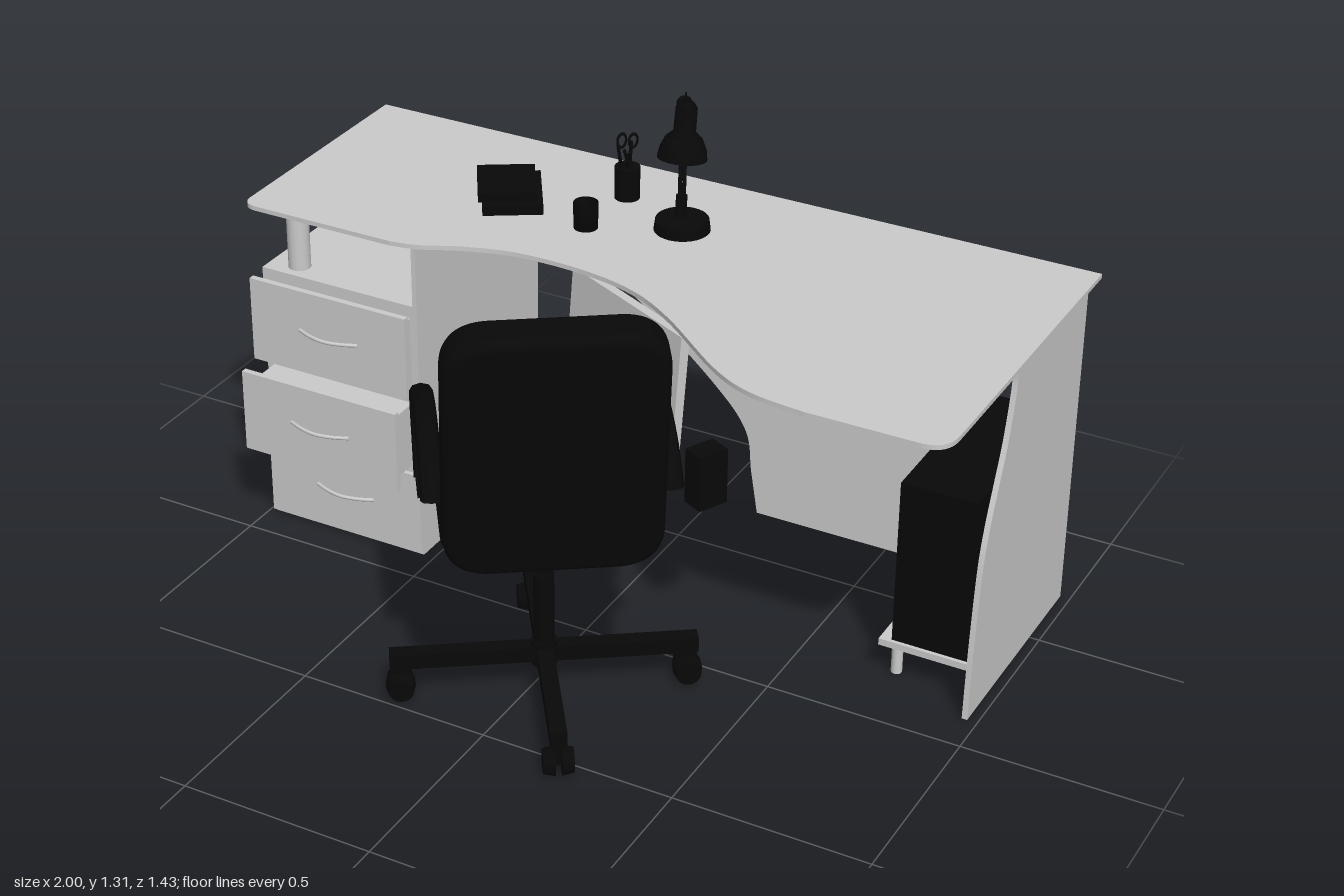
import * as THREE from 'three';
import { RoundedBoxGeometry } from 'three/addons/geometries/RoundedBoxGeometry.js';

const grey = new THREE.MeshStandardMaterial({ color: 0xcccccc, side: THREE.DoubleSide });
const black = new THREE.MeshStandardMaterial({ color: 0x080808, side: THREE.DoubleSide });
const V = (a) => new THREE.Vector3(...a);

function add(parent, name, geo, mat, pos = [0, 0, 0]) {
  const m = new THREE.Mesh(geo, mat);
  m.name = name;
  m.position.set(...pos);
  parent.add(m);
  return m;
}
// Box given by its min and max corners
function box(parent, name, mat, a, b) {
  return add(parent, name, new THREE.BoxGeometry(b[0] - a[0], b[1] - a[1], b[2] - a[2]), mat,
    a.map((v, i) => (v + b[i]) / 2));
}
// Round bar between two points
function rod(parent, name, mat, a, b, r, r2 = r, sides = 16) {
  const p = V(a), d = V(b).sub(p);
  const m = add(parent, name, new THREE.CylinderGeometry(r2, r, d.length(), sides), mat);
  m.position.copy(p).addScaledVector(d, 0.5);
  m.quaternion.setFromUnitVectors(new THREE.Vector3(0, 1, 0), d.normalize());
  return m;
}
function tube(parent, name, mat, pts, r, n = 24) {
  return add(parent, name, new THREE.TubeGeometry(new THREE.CatmullRomCurve3(pts.map(V)), n, r, 8), mat);
}
function group(parent, name, pos = [0, 0, 0], ry = 0) {
  const g = new THREE.Group();
  g.name = name;
  g.position.set(...pos);
  g.rotation.y = ry;
  parent.add(g);
  return g;
}
const vecs = (pts) => pts.map(([x, y]) => new THREE.Vector2(x, y));
const extrude = (shape, depth) => new THREE.ExtrudeGeometry(shape, { depth, bevelEnabled: false, curveSegments: 12 });
function roundRect(shape, x0, y0, x1, y1, r) {
  shape.moveTo(x0 + r, y0);
  shape.lineTo(x1 - r, y0).quadraticCurveTo(x1, y0, x1, y0 + r);
  shape.lineTo(x1, y1 - r).quadraticCurveTo(x1, y1, x1 - r, y1);
  shape.lineTo(x0 + r, y1).quadraticCurveTo(x0, y1, x0, y1 - r);
  shape.lineTo(x0, y0 + r).quadraticCurveTo(x0, y0, x0 + r, y0);
  return shape;
}

function buildDesk(root) {
  const desk = group(root, 'desk');
  // Worktop with a wavy front edge, drawn in (x, -z) and laid flat
  const top = new THREE.Shape();
  top.moveTo(-1, 0.72).lineTo(1, 0.72).lineTo(1, -0.14);
  top.quadraticCurveTo(1, -0.21, 0.93, -0.21).lineTo(0.66, -0.21);
  top.splineThru(vecs([[0.52, -0.19], [0.4, -0.13], [0.2, 0.03], [0.06, 0.11], [-0.1, 0.145],
    [-0.27, 0.145], [-0.4, 0.11], [-0.5, 0.065], [-0.57, 0.05]]));
  top.lineTo(-0.96, 0.05).quadraticCurveTo(-1, 0.05, -1, 0.09);
  add(desk, 'worktop', extrude(top, 0.012).rotateX(-Math.PI / 2), grey, [0, 0.905, 0]);

  // Back panel with a sweeping lower edge and a window
  const back = new THREE.Shape();
  back.moveTo(0.96, 0).lineTo(0.96, 0.905).lineTo(-0.53, 0.905);
  back.splineThru(vecs([[-0.5, 0.78], [-0.4, 0.67], [-0.2, 0.52], [0, 0.35], [0.09, 0.24], [0.11, 0.12], [0.13, 0]]));
  back.holes.push(roundRect(new THREE.Path(), 0.715, 0.08, 0.935, 0.6, 0.045));
  add(desk, 'backPanel', extrude(back, 0.014), grey, [0, 0, -0.71]);

  // Side panel, drawn in (-z, y)
  const side = new THREE.Shape();
  side.moveTo(0.71, 0).lineTo(0.71, 0.905).lineTo(0.265, 0.905);
  side.splineThru(vecs([[0.27, 0.83], [0.24, 0.7], [0.2, 0.6], [0.16, 0.5], [0.135, 0.4], [0.115, 0.2], [0.105, 0]]));
  add(desk, 'sidePanel', extrude(side, 0.014).rotateY(Math.PI / 2), grey, [0.96, 0, 0]);

  // Drawer cabinet
  box(desk, 'cabinet', grey, [-0.985, 0, -0.7], [-0.53, 0.72, -0.1]);
  box(desk, 'cabinetSidePanel', grey, [-0.542, 0, -0.7], [-0.53, 0.905, -0.1]);
  [[0.01, 0.24, -0.088], [0.25, 0.475, 0.015], [0.485, 0.715, -0.042]].forEach(([y0, y1, z]) => {
    box(desk, 'drawerFront', grey, [-0.985, y0, z - 0.016], [-0.53, y1, z]);
    box(desk, 'drawerBox', grey, [-0.965, y0 + 0.02, -0.3], [-0.55, y1 - 0.03, z - 0.016]);
    const y = (y0 + y1) / 2 + 0.005;
    tube(desk, 'drawerHandle', grey, [[-0.84, y, z], [-0.8, y, z + 0.016], [-0.755, y, z + 0.024],
      [-0.71, y, z + 0.016], [-0.67, y, z]], 0.005);
  });
  for (const z of [-0.15, -0.62]) rod(desk, 'post', grey, [-0.905, 0.72, z], [-0.905, 0.905, z], 0.029);

  // Computer on its low shelf
  box(desk, 'computerShelf', grey, [0.71, 0.09, -0.69], [0.96, 0.108, -0.17]);
  for (const z of [-0.21, -0.62]) rod(desk, 'shelfFoot', grey, [0.745, 0, z], [0.745, 0.09, z], 0.014);
  box(desk, 'computerCase', black, [0.74, 0.108, -0.67], [0.935, 0.55, -0.18]);

  // Turned tray, screen and speaker below the worktop
  const tray = roundRect(new THREE.Shape(), -0.325, -0.1, 0.325, 0.1, 0.025);
  const t = add(group(root, 'tray', [-0.045, 0.46, 0.085], -0.45), 'trayBoard', extrude(tray, 0.01), grey);
  t.rotation.x = -Math.PI / 2;
  const screen = group(root, 'screen', [0.01, 0.675, -0.18], -0.45);
  add(screen, 'screenPanel', new THREE.BoxGeometry(0.44, 0.33, 0.025), grey).rotation.x = -0.08;
  box(screen, 'screenSocket', grey, [-0.05, -0.12, -0.04], [0.05, -0.06, -0.01]);
  add(root, 'speaker', new THREE.BoxGeometry(0.06, 0.145, 0.08), black, [0.32, 0.54, -0.005]).rotation.y = -0.45;
}

function buildChair(root) {
  const chair = group(root, 'chair', [0.03, 0, 0.26], Math.PI + 0.607);
  // Four-legged base with twin-wheel casters
  rod(chair, 'hub', black, [0, 0.075, 0], [0, 0.14, 0], 0.032);
  rod(chair, 'columnSleeve', black, [0, 0.13, 0], [0, 0.33, 0], 0.025);
  rod(chair, 'column', black, [0, 0.33, 0], [0, 0.5, 0], 0.017);
  for (let i = 0; i < 4; i++) {
    const leg = group(chair, 'baseLeg', [0, 0, 0], i * Math.PI / 2);
    box(leg, 'legBar', black, [-0.02, 0.088, 0], [0.02, 0.128, 0.37]);
    rod(leg, 'casterPin', black, [0, 0.03, 0.345], [0, 0.1, 0.345], 0.012);
    for (const s of [-1, 1]) rod(leg, 'casterWheel', black, [s * 0.008, 0.036, 0.345], [s * 0.036, 0.036, 0.345], 0.036, 0.03);
  }
  // Seat mechanism and lever
  add(chair, 'mechanism', new RoundedBoxGeometry(0.17, 0.045, 0.25, 2, 0.015), black, [0, 0.505, 0]);
  rod(chair, 'lever', black, [-0.05, 0.5, 0.05], [-0.22, 0.475, 0.06], 0.008);
  // Cushion with a bowed front edge
  const seat = new THREE.Shape();
  seat.moveTo(-0.2, 0.22).lineTo(0.2, 0.22).quadraticCurveTo(0.225, 0.2, 0.225, 0.17);
  seat.lineTo(0.225, -0.12).quadraticCurveTo(0.12, -0.225, 0, -0.225).quadraticCurveTo(-0.12, -0.225, -0.225, -0.12);
  seat.lineTo(-0.225, 0.17).quadraticCurveTo(-0.225, 0.2, -0.2, 0.22);
  const soft = { depth: 0.03, bevelThickness: 0.028, bevelSize: 0.025, bevelSegments: 5, curveSegments: 14 };
  add(chair, 'seat', new THREE.ExtrudeGeometry(seat, soft).rotateX(-Math.PI / 2), black, [0, 0.552, 0]);
  // Reclined backrest
  const rest = roundRect(new THREE.Shape(), -0.225, 0.025, 0.225, 0.65, 0.085);
  const b = add(chair, 'backrest', new THREE.ExtrudeGeometry(rest, { ...soft, depth: 0.045 }), black, [0, 0.51, -0.255]);
  b.rotation.x = -0.18;
  // Looped armrests, flat in section
  const arm = new THREE.CatmullRomCurve3([[0, 0.7, -0.25], [0, 0.745, -0.17], [0, 0.77, -0.04], [0, 0.765, 0.08],
    [0, 0.725, 0.195], [0, 0.69, 0.19], [0, 0.62, 0.12], [0, 0.56, 0.08]].map(V));
  for (const s of [-1, 1]) {
    const m = add(chair, 'armrest', new THREE.TubeGeometry(arm, 40, 0.017, 8), black, [s * 0.268, 0, 0]);
    m.scale.x = 1.6;
    box(chair, 'armBracket', black, [s * 0.26 - 0.03, 0.54, 0.02], [s * 0.26 + 0.03, 0.575, 0.13]);
  }
}

function buildLamp(root) {
  const lamp = group(root, 'lamp');
  rod(lamp, 'lampBase', black, [0.02, 0.917, -0.45], [0.02, 0.945, -0.45], 0.07, 0.066, 32);
  rod(lamp, 'lampPivot', black, [0.01, 0.94, -0.46], [0.01, 1.0, -0.465], 0.014);
  // Two pairs of parallel rods with an elbow
  for (const s of [-1, 1]) {
    const o = s * 0.011;
    rod(lamp, 'lowerArm', black, [0.01, 0.99 + o, -0.465 + o], [-0.045, 1.185 + o, -0.58 + o], 0.005);
    rod(lamp, 'upperArm', black, [-0.045, 1.185 + o, -0.58], [0.05, 1.235 + o, -0.4], 0.005);
  }
  add(lamp, 'elbow', new THREE.SphereGeometry(0.02, 16, 12), black, [-0.045, 1.185, -0.58]);
  rod(lamp, 'headJoint', black, [0.045, 1.235, -0.41], [0.07, 1.24, -0.35], 0.012);
  tube(lamp, 'cable', black, [[0.06, 1.29, -0.37], [0.045, 1.3, -0.41], [0.035, 1.26, -0.425], [0.04, 1.235, -0.41]], 0.002);
  // Open shade
  const shade = [[0.06, 0], [0.056, 0.025], [0.045, 0.05], [0.027, 0.066], [0.026, 0.125], [0.018, 0.137], [0, 0.137]];
  const head = add(lamp, 'shade', new THREE.LatheGeometry(vecs(shade), 28), black, [0.075, 1.168, -0.335]);
  head.rotation.x = -0.16;
}

function buildDeskItems(root) {
  const y = 0.917;
  // Stacked pads
  const pads = group(root, 'notepads', [-0.43, y, -0.4], 0.55);
  box(pads, 'lowerPad', black, [-0.075, 0, -0.1], [0.075, 0.025, 0.1]);
  box(pads, 'upperPad', black, [-0.085, 0.025, -0.09], [0.06, 0.048, 0.075]);
  // Pen holder with pens and scissors
  const pens = group(root, 'penHolder', [-0.18, y, -0.54], 0.5);
  add(pens, 'holder', new THREE.CylinderGeometry(0.032, 0.032, 0.085, 24, 1, false), black, [0, 0.0425, 0]);
  [[-0.02, 0.012, 0.15], [0.008, -0.024, 0.14], [0.0, 0.02, 0.13]].forEach(([x, z, h]) =>
    rod(pens, 'pen', black, [x * 0.5, 0.05, z * 0.5], [x * 1.2, h, z * 1.2], 0.005, 0.004, 8));
  for (const s of [-1, 1]) {
    rod(pens, 'scissorBlade', black, [-s * 0.006, 0.07, 0], [s * 0.008, 0.125, -0.01], 0.004);
    const ring = add(pens, 'scissorLoop', new THREE.TorusGeometry(0.013, 0.003, 8, 18), black, [s * 0.014, 0.148, -0.014]);
    ring.rotation.y = 0.6;
    ring.scale.y = 1.4;
  }
  // Mug
  const mug = group(root, 'mug', [-0.19, y, -0.345]);
  add(mug, 'mugBody', new THREE.LatheGeometry(vecs([[0, 0], [0.03, 0], [0.031, 0.068], [0.027, 0.068], [0.026, 0.006], [0, 0.006]]), 24), black);
  add(mug, 'mugHandle', new THREE.TorusGeometry(0.018, 0.004, 8, 20), black, [-0.022, 0.036, -0.028]).rotation.y = -0.9;
}

export function createModel() {
  const root = new THREE.Group();
  root.name = 'officeDeskSet';
  buildDesk(root);
  buildChair(root);
  buildLamp(root);
  buildDeskItems(root);
  return root;
}
